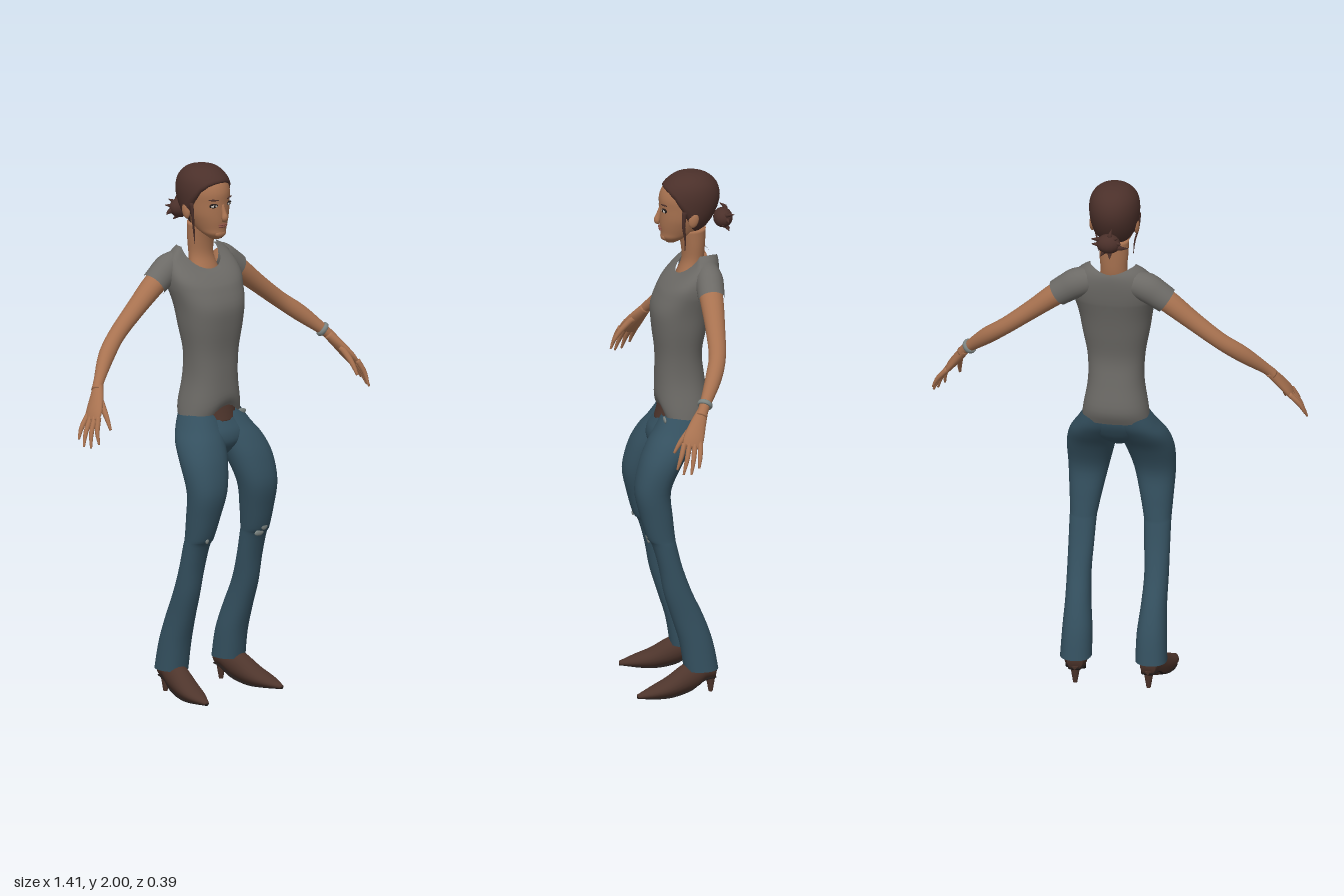
import * as THREE from 'three';

const material = (name, color, side = THREE.FrontSide) => {
  const m = new THREE.MeshStandardMaterial({ color, side });
  m.name = name;
  return m;
};

// Catmull-Rom interpolation of every column in a short table
function smooth(rows, n = 4) {
  const out = [], last = rows.length - 1;
  const at = i => rows[Math.min(last, Math.max(0, i))];
  for (let i = 0; i < last; i++) for (let k = 0; k < n; k++) {
    const t = k / n;
    out.push(rows[i].map((b, c) => {
      const a = at(i - 1)[c], d = at(i + 1)[c], e = at(i + 2)[c];
      return b + 0.5 * t * (d - a + t * (2 * a - 5 * b + 4 * d - e + t * (3 * (b - d) + e - a)));
    }));
  }
  out.push(rows[last]);
  return out;
}

// Skin closed rings of points, optionally with capped ends
function loft(rings, cap = true) {
  const n = rings[0].length, pos = [], idx = [];
  rings.forEach(r => r.forEach(p => pos.push(...p)));
  for (let i = 0; i < rings.length - 1; i++) for (let j = 0; j < n; j++) {
    const a = i * n + j, b = i * n + (j + 1) % n;
    idx.push(a, b, a + n, b, b + n, a + n);
  }
  if (cap) [0, rings.length - 1].forEach((r, end) => {
    const c = pos.length / 3;
    pos.push(...[0, 1, 2].map(k => rings[r].reduce((s, p) => s + p[k], 0) / n));
    for (let j = 0; j < n; j++) {
      const a = r * n + j, b = r * n + (j + 1) % n;
      idx.push(...(end ? [a, b, c] : [b, a, c]));
    }
  });
  const g = new THREE.BufferGeometry();
  g.setAttribute('position', new THREE.Float32BufferAttribute(pos, 3));
  g.setIndex(idx);
  g.computeVertexNormals();
  return g;
}

const angles = n => Array.from({ length: n }, (_, j) => j / n * Math.PI * 2);
const soft = (v, p) => Math.sign(v) * Math.abs(v) ** p;

// Horizontal oval from [y, xMin, xMax, zBack, zFront]; angle 0 is the front
function oval([y, x0, x1, zb, zf], t, p = 1) {
  return [(x0 + x1) / 2 + (x1 - x0) / 2 * soft(Math.sin(t), p), y, (zb + zf) / 2 + (zf - zb) / 2 * soft(Math.cos(t), p)];
}
const body = (rows, n = 28, p = 1, cap = true) => loft(smooth(rows).map(r => angles(n).map(t => oval(r, t, p))), cap);
const wide = rows => rows.map(([y, rx, zb, zf]) => [y, -rx, rx, zb, zf]);

// Tapered limb through [x, y, z, radiusA, radiusB] stations
function limb(stations, n = 16, side = [0, 0, 1], cap = true) {
  const s = smooth(stations), P = s.map(r => new THREE.Vector3(...r.slice(0, 3)));
  return loft(s.map((r, i) => {
    const T = P[Math.min(i + 1, P.length - 1)].clone().sub(P[Math.max(i - 1, 0)]).normalize();
    const X = T.clone().cross(new THREE.Vector3(...side)).normalize(), Z = X.clone().cross(T);
    return angles(n).map(t => P[i].clone().addScaledVector(X, r[3] * Math.sin(t)).addScaledVector(Z, r[4] * Math.cos(t)).toArray());
  }), cap);
}
const flip = (rows, s) => rows.map(([x, ...r]) => [x * s, ...r]);

const headRows = smooth(wide([
  [1.73, 0.02, 0.02, 0.06], [1.75, 0.042, -0.02, 0.077], [1.77, 0.054, -0.06, 0.079], [1.8, 0.067, -0.09, 0.083],
  [1.83, 0.077, -0.11, 0.084], [1.87, 0.083, -0.128, 0.084], [1.91, 0.085, -0.133, 0.084], [1.95, 0.075, -0.12, 0.066],
  [1.98, 0.046, -0.085, 0.025], [1.99, 0.01, -0.04, -0.02]]));
function headRow(y) {
  const i = Math.max(1, headRows.findIndex(r => r[0] >= y)), a = headRows[i - 1], b = headRows[i];
  const f = Math.min(1, Math.max(0, (y - a[0]) / (b[0] - a[0])));
  return a.map((v, c) => v + (b[c] - v) * f);
}
function faceZ(x, y) {
  const [, , rx, zb, zf] = headRow(y);
  return (zb + zf) / 2 + (zf - zb) / 2 * Math.sqrt(Math.max(0, 1 - (x / rx) ** 2));
}

export function createModel() {
  const model = new THREE.Group();
  model.name = 'standingWoman';
  const skin = material('skin', 0xa87250), hair = material('hair', 0x4b302a), grey = material('shirtGrey', 0x6c6a66);
  const denim = material('denim', 0x34505f, THREE.DoubleSide), leather = material('brownLeather', 0x4e352c);
  const white = material('eyeWhite', 0xc4bdb4), dark = material('darkSole', 0x211a18), lip = material('lips', 0x8a5244);
  const pale = material('paleGrey', 0x7d8582, THREE.DoubleSide);
  const add = (name, geo, mat) => {
    const m = new THREE.Mesh(geo, mat);
    m.name = name;
    model.add(m);
    return m;
  };
  const blob = (name, mat, p, s) => {
    const m = add(name, new THREE.SphereGeometry(1, 16, 12), mat);
    m.position.set(...p);
    m.scale.set(...s);
    return m;
  };

  // Shirt: torso rows, then shoulder rings curving up to the scooped neckline
  const torso = smooth(wide([
    [1.045, 0.127, -0.075, 0.085], [1.1, 0.12, -0.095, 0.1], [1.2, 0.104, -0.082, 0.1], [1.3, 0.107, -0.072, 0.1],
    [1.4, 0.125, -0.09, 0.112], [1.48, 0.138, -0.107, 0.114], [1.55, 0.155, -0.125, 0.085]]));
  const rings = torso.map(r => angles(40).map(t => {
    const p = oval(r, t, 0.85);
    p[1] += 0.05 * Math.max(0, Math.cos(t - 0.15)) ** 8 * Math.max(0, 1 - (r[0] - 1.045) / 0.15);
    return p;
  }));
  for (let k = 1; k <= 8; k++) {
    const u = k / 8, w = [(1 - u) ** 2, 2 * u * (1 - u), u * u];
    rings.push(angles(40).map(t => {
      const f = Math.max(0, Math.cos(t)) ** 0.8, back = Math.max(0, -Math.cos(t)) ** 4;
      const a = oval([1.55, -0.155, 0.155, -0.125, 0.085], t, 0.85);
      const b = oval([1.65 - 0.065 * f, -0.175, 0.175, -0.142, 0.06], t, 0.85);
      const c = oval([1.692 - 0.082 * f - 0.02 * back, -0.085, 0.085, -0.13, 0.022], t);
      return a.map((v, i) => v * w[0] + b[i] * w[1] + c[i] * w[2]);
    }));
  }
  add('shirt', loft(rings, false), grey);

  // Neck, head and face
  add('neck', body(wide([[1.57, 0.078, -0.06, 0.03], [1.61, 0.06, -0.07, 0.016], [1.66, 0.05, -0.082, 0.0],
    [1.72, 0.054, -0.087, 0.004], [1.78, 0.056, -0.09, 0.02]])), skin);
  add('head', loft(headRows.map(r => angles(32).map(t => oval(r, t)))), skin);
  add('nose', limb([[0, 1.865, 0.079, 0.007, 0.006], [0, 1.835, 0.087, 0.009, 0.01], [0, 1.815, 0.093, 0.013, 0.012],
    [0, 1.803, 0.086, 0.008, 0.006]], 12), skin);
  blob('upperLip', lip, [0, 1.788, 0.082], [0.023, 0.004, 0.006]);
  blob('lowerLip', lip, [0, 1.781, 0.081], [0.02, 0.005, 0.006]);
  blob('chin', skin, [0, 1.752, 0.066], [0.026, 0.016, 0.014]);
  for (const s of [1, -1]) {
    const z = faceZ(0.036, 1.862);
    blob('eyeLine', dark, [s * 0.037, 1.8635, z - 0.001], [0.018, 0.0085, 0.005]).rotation.y = s * 0.35;
    blob('eyeWhite', white, [s * 0.037, 1.862, z + 0.001], [0.014, 0.0055, 0.005]).rotation.y = s * 0.35;
    blob('iris', dark, [s * 0.036, 1.862, z + 0.004], [0.005, 0.005, 0.003]);
    blob('brow', hair, [s * 0.038, 1.885, faceZ(0.038, 1.885)], [0.021, 0.003, 0.004]).rotation.set(0, s * 0.4, s * 0.08);
    blob('ear', skin, [s * 0.083, 1.835, -0.03], [0.011, 0.03, 0.019]).rotation.x = -0.2;
    add('looseStrand', limb(flip([[0.088, 1.87, 0.005, 0.006, 0.01], [0.083, 1.81, 0.008, 0.004, 0.006],
      [0.071, 1.76, 0.0, 0.003, 0.004], [0.066, 1.71, 0.0, 0.001, 0.001]], s), 8), hair);
  }

  // Hair cap, its lower edge running from forehead past the ears to the nape
  const edge = [1.945, 1.943, 1.935, 1.915, 1.87, 1.825, 1.795, 1.78, 1.77, 1.765, 1.765];
  const hairline = t => {
    const a = Math.min(t, 2 * Math.PI - t) / Math.PI * 10, i = Math.min(9, Math.floor(a));
    return edge[i] + (edge[i + 1] - edge[i]) * (a - i);
  };
  const hairRings = Array.from({ length: 17 }, (_, k) => angles(40).map(t => {
    const u = 1 - (1 - k / 16) ** 2, y = hairline(t) + (1.99 - hairline(t)) * u;
    const [, x0, x1, zb, zf] = headRow(y), o = k ? 0.009 : 0.001;
    return oval([y + 0.009 * u, x0 - o, x1 + o, zb - o, zf + o * 0.7], t);
  }));
  add('hairCap', loft(hairRings), hair);
  blob('hairBun', hair, [0, 1.81, -0.155], [0.045, 0.037, 0.036]);
  for (let i = 0; i < 11; i++) {
    const a = i / 11 * Math.PI * 2, r = 0.062 + 0.014 * Math.sin(i * 2.4);
    const x = Math.cos(a), y = Math.sin(a);
    add('bunSpike', limb([[x * 0.02, 1.81 + y * 0.02, -0.15, 0.012, 0.012],
      [x * r * 0.6, 1.81 + y * r * 0.5, -0.165, 0.009, 0.009],
      [x * r, 1.81 + y * r * 0.75, -0.165 - 0.022 * Math.sin(i * 1.7), 0.001, 0.001]], 6), hair);
  }

  // Hips and belt
  add('hips', body(wide([[0.92, 0.03, 0.04, 0.1], [0.96, 0.11, -0.02, 0.13], [1.0, 0.155, -0.05, 0.128],
    [1.035, 0.143, -0.066, 0.108], [1.07, 0.12, -0.07, 0.085]])), denim);
  add('belt', body(wide([[1.04, 0.09, -0.04, 0.104], [1.075, 0.09, -0.04, 0.094], [1.105, 0.09, -0.04, 0.086]])), leather);

  for (const s of [1, -1]) {
    // Sleeve, arm and hand
    add('sleeve', limb(flip([[0.08, 1.627, -0.08, 0.05, 0.045], [0.13, 1.612, -0.079, 0.056, 0.052],
      [0.17, 1.587, -0.077, 0.053, 0.051], [0.205, 1.563, -0.075, 0.05, 0.049]], s), 24, [0, 0, 1], false), grey);
    add('arm', limb(flip([[0.12, 1.615, -0.077, 0.04, 0.042], [0.2, 1.566, -0.075, 0.042, 0.044],
      [0.3, 1.488, -0.07, 0.035, 0.037], [0.4, 1.41, -0.059, 0.031, 0.032], [0.48, 1.348, -0.028, 0.031, 0.03],
      [0.56, 1.275, 0.02, 0.02, 0.02], [0.585, 1.247, 0.036, 0.019, 0.022]], s), 20), skin);
    add('palm', limb(flip([[0.57, 1.263, 0.027, 0.018, 0.02], [0.6, 1.222, 0.051, 0.018, 0.03],
      [0.632, 1.178, 0.073, 0.015, 0.038], [0.65, 1.15, 0.084, 0.009, 0.034]], s)), skin);
    [[0.7, 1.085, 0.065], [0.702, 1.062, 0.095], [0.69, 1.06, 0.122], [0.668, 1.073, 0.142]].forEach(([x, y, z], i) => {
      const b = [0.642, 1.165, 0.05 + i * 0.02];
      add('finger', limb(flip([[...b, 0.01, 0.01], [(x + b[0]) / 2 + 0.008, (y + b[1]) / 2, (z + b[2]) / 2, 0.009, 0.009],
        [x, y, z, 0.004, 0.004]], s), 10), skin);
    });
    add('thumb', limb(flip([[0.598, 1.215, 0.07, 0.013, 0.013], [0.608, 1.165, 0.115, 0.01, 0.01],
      [0.612, 1.12, 0.143, 0.005, 0.005]], s), 10), skin);

    // Trouser leg
    add('trouserLeg', body([
      [0.095, 0.083, 0.2, -0.11, 0.018], [0.2, 0.085, 0.195, -0.09, 0.035], [0.3, 0.095, 0.19, -0.055, 0.065],
      [0.4, 0.1, 0.19, -0.01, 0.095], [0.5, 0.095, 0.19, 0.025, 0.113], [0.59, 0.09, 0.19, 0.047, 0.138],
      [0.62, 0.086, 0.19, 0.052, 0.158], [0.7, 0.07, 0.195, 0.06, 0.181], [0.8, 0.047, 0.201, 0.065, 0.2],
      [0.9, 0.02, 0.201, 0.02, 0.18], [0.97, 0.002, 0.183, -0.03, 0.148], [1.02, -0.01, 0.152, -0.06, 0.115],
      [1.07, -0.005, 0.122, -0.07, 0.085]].map(([y, a, b, ...z]) => [y, Math.min(a * s, b * s), Math.max(a * s, b * s), ...z]), 28, 0.9, false), denim);

    // Pointed shoe with sole and thin heel
    const shoe = [[0.137, 0.085, -0.1, 0.03, 0.028], [0.14, 0.09, -0.05, 0.042, 0.042], [0.15, 0.068, 0.0, 0.05, 0.044],
      [0.164, 0.039, 0.07, 0.037, 0.045], [0.177, 0.024, 0.135, 0.023, 0.037], [0.186, 0.012, 0.2, 0.008, 0.01]];
    add('shoe', limb(flip(shoe, s), 20, [1, 0, 0]), leather);
    add('sole', limb(flip(shoe.map(([x, y, z, v, h]) => [x, y - v + 0.005, z, 0.005, h * 0.85]), s), 16, [1, 0, 0]), dark);
    add('heel', new THREE.CylinderGeometry(0.02, 0.008, 0.07, 12), leather).position.set(s * 0.138, 0.035, -0.083);
  }

  // Worn patches on the knees and beside the belt
  [[0.12, 0.603, 0.148, 0.022, 0.011], [0.138, 0.627, 0.157, 0.016, 0.014], [-0.145, 0.617, 0.156, 0.008, 0.01],
    [0.09, 1.06, 0.081, 0.026, 0.011]].forEach(([x, y, z, w, h]) => blob('wornPatch', pale, [x, y, z], [w, h, 0.005]));

  // Bracelet on the left wrist
  const bracelet = add('bracelet', new THREE.TorusGeometry(0.023, 0.006, 8, 24), pale);
  bracelet.position.set(0.553, 1.281, 0.016);
  bracelet.quaternion.setFromUnitVectors(new THREE.Vector3(0, 0, 1), new THREE.Vector3(0.68, -0.62, 0.4).normalize());
  bracelet.scale.z = 1.6;
  return model;
}
